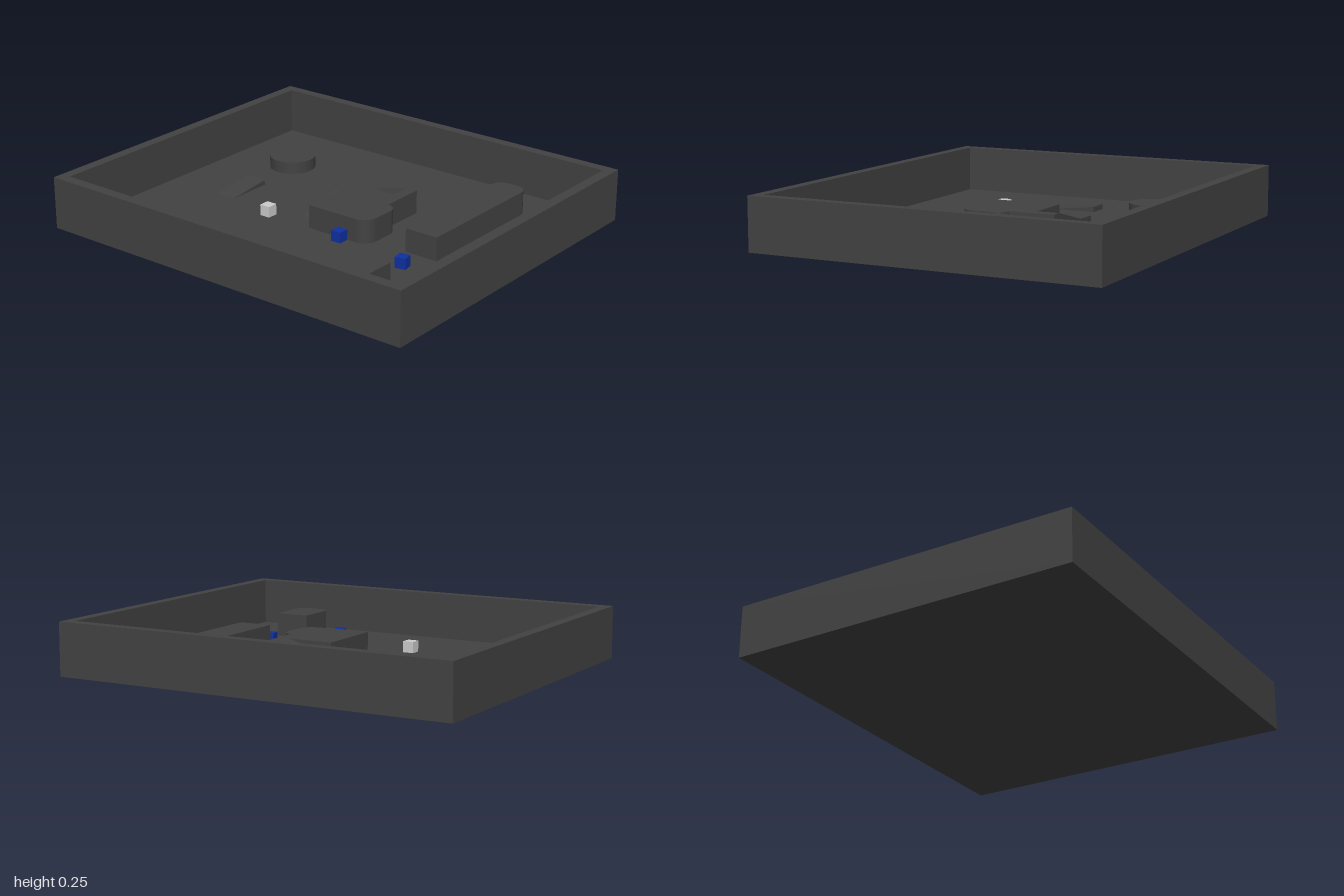
import * as THREE from 'three';

const FLOOR = 0.03;
const TOP = 0.145;
const dark = new THREE.MeshStandardMaterial({ color: 0x424242 });
const blue = new THREE.MeshStandardMaterial({ color: 0x0f309f });
const grey = new THREE.MeshStandardMaterial({ color: 0xcccccc });

// Plan outline of [x, z, cornerRadius] points
function outline(points, Type = THREE.Shape) {
  const s = new Type();
  const n = points.length;
  const v = points.map(([x, z]) => new THREE.Vector2(x, -z));
  points.forEach(([, , r = 0], i) => {
    const toward = (q) => q.clone().sub(v[i]).setLength(r).add(v[i]);
    const a = toward(v[(i + n - 1) % n]);
    const b = toward(v[(i + 1) % n]);
    if (i === 0) s.moveTo(a.x, a.y);
    else s.lineTo(a.x, a.y);
    // Bezier quarter circle
    if (r) {
      const c1 = a.clone().lerp(v[i], 0.5523);
      const c2 = b.clone().lerp(v[i], 0.5523);
      s.bezierCurveTo(c1.x, c1.y, c2.x, c2.y, b.x, b.y);
    }
  });
  s.closePath();
  return s;
}

const rect = (x, z) => [[-x, z], [x, z], [x, -z], [-x, -z]];

// Vertical prism from a plan shape
function prism(shape, y0, y1) {
  const g = new THREE.ExtrudeGeometry(shape, { depth: y1 - y0, bevelEnabled: false, curveSegments: 8 });
  return g.rotateX(-Math.PI / 2).translate(0, y0, 0);
}

// Side profile of [x, y] points, extruded between two z values
function profileX(points, z0, z1) {
  const s = new THREE.Shape(points.map(([x, y]) => new THREE.Vector2(x, y)));
  return new THREE.ExtrudeGeometry(s, { depth: z1 - z0, bevelEnabled: false }).translate(0, 0, z0);
}

// Side profile of [z, y] points, extruded between two x values
function profileZ(points, x0, x1) {
  const s = new THREE.Shape(points.map(([z, y]) => new THREE.Vector2(-z, y)));
  return new THREE.ExtrudeGeometry(s, { depth: x1 - x0, bevelEnabled: false })
    .rotateY(Math.PI / 2).translate(x0, 0, 0);
}

export function createModel() {
  const model = new THREE.Group();
  model.name = 'obstacleTray';
  const add = (name, geometry, material = dark) => {
    const mesh = new THREE.Mesh(geometry, material);
    mesh.name = name;
    model.add(mesh);
    return mesh;
  };

  // Tray: rim walls around a floor plate
  const rim = outline(rect(0.855, 1));
  rim.holes.push(outline(rect(0.803, 0.948), THREE.Path));
  add('trayWalls', prism(rim, 0, 0.255));
  add('trayFloor', new THREE.BoxGeometry(1.61, FLOOR, 1.9).translate(0, FLOOR / 2, 0));

  // Raised central platform with rounded front corners
  add('centralPlatform', prism(outline([
    [-0.175, -0.03], [-0.175, 0.31, 0.07], [0.055, 0.31, 0.055], [0.055, 0.255],
    [0.28, 0.255], [0.28, 0.2], [0.17, 0.2], [0.17, -0.03],
  ]), FLOOR, TOP));

  // Two ramps climbing around the platform
  add('lowerRamp', profileX([[-0.08, FLOOR], [0.28, FLOOR], [0.28, 0.085], [0.17, 0.085]], -0.145, -0.03));
  add('upperRamp', profileZ([[-0.03, FLOOR], [-0.03, 0.085], [0.2, TOP], [0.2, FLOOR]], 0.17, 0.28));

  // Front ledges, each rounded at its outer end
  add('longLedge', prism(outline([
    [-0.12, 0.655], [0.625, 0.655, 0.06], [0.625, 0.485, 0.06], [-0.12, 0.485],
  ]), FLOOR, TOP));
  add('shortLedge', prism(outline([
    [-0.69, 0.655, 0.055], [-0.46, 0.655], [-0.46, 0.485], [-0.69, 0.485, 0.055],
  ]), FLOOR, TOP));

  // Round pedestal and small wedge at the back
  add('roundPedestal', new THREE.CylinderGeometry(0.114, 0.114, 0.06, 48).translate(0.398, FLOOR + 0.03, -0.605));
  add('smallWedge', profileX([[-0.12, FLOOR], [0.11, FLOOR], [0.11, 0.055]], -0.655, -0.545));

  // Loose cubes: x, centre y, z, turn in degrees
  const cubes = [
    ['greyCube', grey, -0.225, 0.086, -0.235, 0],
    ['blueCube1', blue, -0.203, 0.056, 0.17, 0],
    ['blueCube2', blue, -0.545, 0.056, 0.335, 28],
    ['blueCube3', blue, -0.26, 0.056, 0.572, 10],
  ];
  for (const [name, material, x, y, z, turn] of cubes) {
    const cube = add(name, new THREE.BoxGeometry(0.053, 0.053, 0.053), material);
    cube.position.set(x, y, z);
    cube.rotation.y = THREE.MathUtils.degToRad(turn);
  }
  return model;
}
